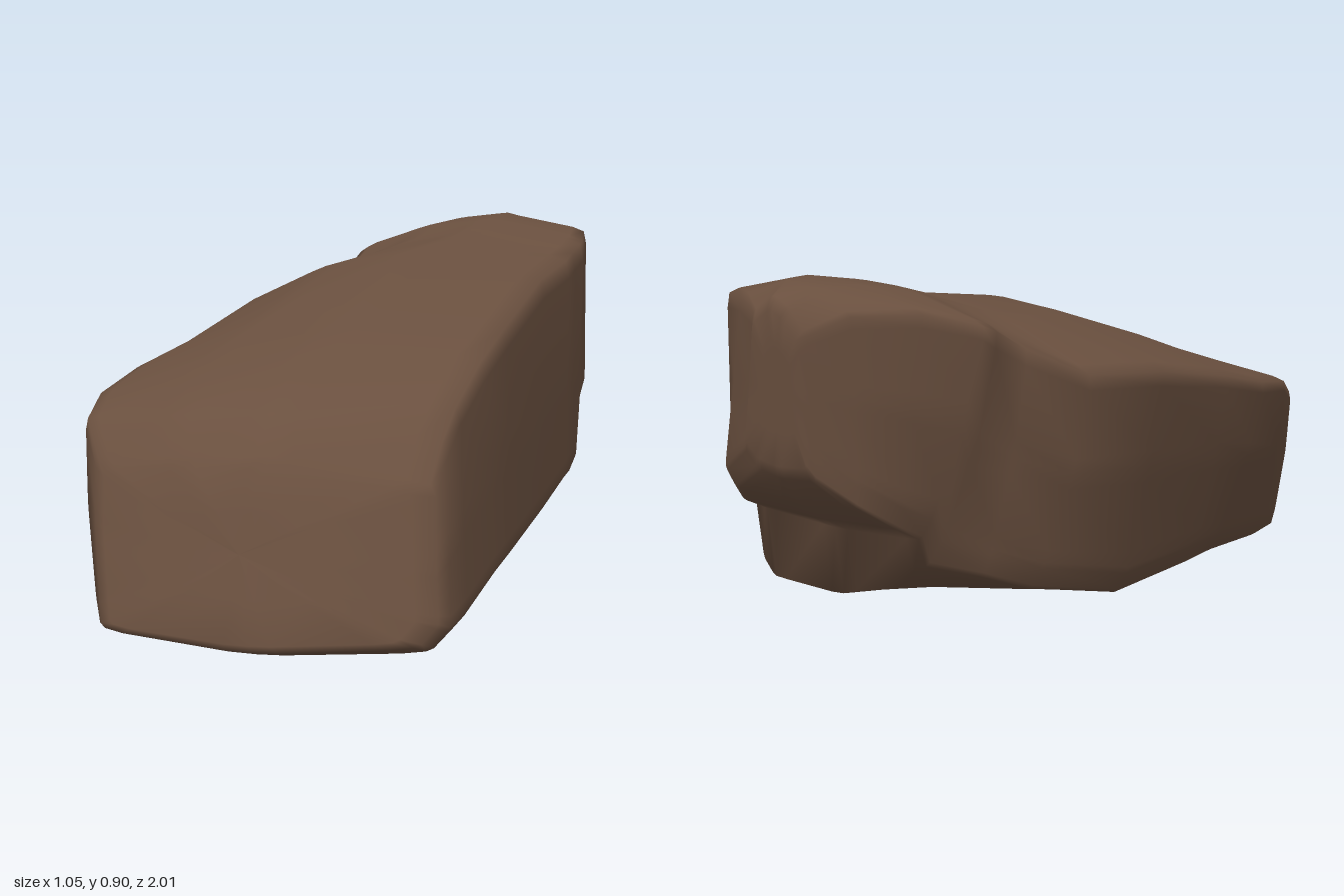
import * as THREE from 'three';

// Cross-sections from front to back:
// z, left x at bottom and top | y of bottom, left shoulder, crest | right x at top and bottom
const SECTIONS = [
  [1.00, -0.33, -0.42, 0.02, 0.42, 0.46, 0.46, 0.50],
  [0.95, -0.36, -0.49, 0.00, 0.50, 0.55, 0.47, 0.52],
  [0.76, -0.37, -0.51, 0.00, 0.54, 0.62, 0.48, 0.525],
  [0.40, -0.37, -0.535, 0.02, 0.56, 0.69, 0.48, 0.525],
  [0.22, -0.37, -0.49, 0.02, 0.59, 0.74, 0.49, 0.52],
  [-0.20, -0.35, -0.49, 0.02, 0.65, 0.83, 0.49, 0.51],
  [-0.48, -0.24, -0.42, 0.04, 0.66, 0.85, 0.50, 0.51],
  [-0.56, -0.14, -0.28, 0.04, 0.73, 0.87, 0.50, 0.51],
  [-0.68, -0.05, -0.27, 0.05, 0.78, 0.885, 0.50, 0.50],
  [-0.71, -0.05, -0.25, 0.24, 0.79, 0.89, 0.50, 0.50],
  [-0.81, -0.04, -0.14, 0.28, 0.82, 0.905, 0.48, 0.495],
  [-0.92, 0.01, -0.01, 0.34, 0.82, 0.895, 0.33, 0.43],
  [-0.98, 0.09, 0.08, 0.41, 0.77, 0.86, 0.24, 0.31],
];

const { lerp, clamp } = THREE.MathUtils;
const mix = (p, q, t) => p.map((value, i) => lerp(value, q[i], t));

// One ring of points, anticlockwise seen from the front, with softened corners
function ring([z, xb, xt, yb, yl, yc, xr, xrb], inset = 1, shift = 0) {
  const xm = lerp(xb, xt, 0.68);
  const yr = yc - 0.045;
  // The underside is chipped upwards at the back of the left side
  const lift = 0.6 * clamp((-z - 0.4) / 0.25, 0, 1) * Math.max(0, 0.24 - yb);
  const corners = [
    [xb, yb + lift], [lerp(xb, xrb, 0.5), yb], [xrb - 0.04, yb + 0.02],
    [xrb, yb + 0.07], [lerp(xr, xrb, 0.55), lerp(yb, yr, 0.5)], [xr, yr],
    [lerp(xt, xr, 0.56), yc], [lerp(xt, xr, 0.3), lerp(yl, yc, 0.72)],
    [xt, yl], [xm, lerp(yb, yl, 0.58)], [lerp(xb, xm, 0.3), yb + 0.07 + lift],
  ];
  const n = corners.length;
  const points = corners.flatMap((corner, i) => {
    const a = mix(corner, corners[(i + n - 1) % n], 0.16);
    const b = mix(corner, corners[(i + 1) % n], 0.16);
    return [a, mix(corner, mix(a, b, 0.5), 0.35), b];
  });
  const centre = [lerp(xm, xr, 0.5), lerp(yb, yc, 0.5)];
  // The front face leans back and bows away at its sides; the back tucks in below
  const front = clamp((z - 0.55) / 0.45, 0, 1);
  const back = clamp((-z - 0.75) / 0.23, 0, 1);
  return points.map((point) => {
    const [x, y] = mix(centre, point, inset);
    // Gentle worn hollows, fading out towards the ground
    const wear = 0.007 * Math.sin(9 * z + 5 * y) * Math.cos(7 * x - 4 * z);
    const depth = z + shift - front * (0.33 * y + 0.43 * (x + 0.08) ** 2)
      + back * 0.1 * (0.75 - y);
    return [x, y + wear * clamp(y / 0.2, 0, 1), depth];
  });
}

// Skin the rings into one smooth closed stone
function rockGeometry() {
  const first = SECTIONS[0];
  const last = SECTIONS[SECTIONS.length - 1];
  // Shrinking rings close both ends
  const rings = [
    ...[0, 0.45, 0.9].map((inset) => ring(first, inset, 0.02)),
    ...SECTIONS.map((section) => ring(section)),
    ...[0.85, 0.45, 0].map((inset) => ring(last, inset, -0.02)),
  ];
  const n = rings[0].length;
  const index = [];
  for (let i = 0; i < rings.length - 1; i++) {
    for (let j = 0; j < n; j++) {
      const a = i * n + j;
      const b = i * n + ((j + 1) % n);
      index.push(a, a + n, b, b, a + n, b + n);
    }
  }
  const geometry = new THREE.BufferGeometry();
  geometry.setAttribute('position', new THREE.Float32BufferAttribute(rings.flat(2), 3));
  geometry.setIndex(index);
  geometry.computeVertexNormals();
  return geometry;
}

export function createModel() {
  const model = new THREE.Group();
  model.name = 'boulder';
  const stone = new THREE.MeshStandardMaterial({ color: 0x6a503f });
  stone.name = 'brown stone';
  const rock = new THREE.Mesh(rockGeometry(), stone);
  rock.name = 'rock';
  model.add(rock);
  return model;
}
